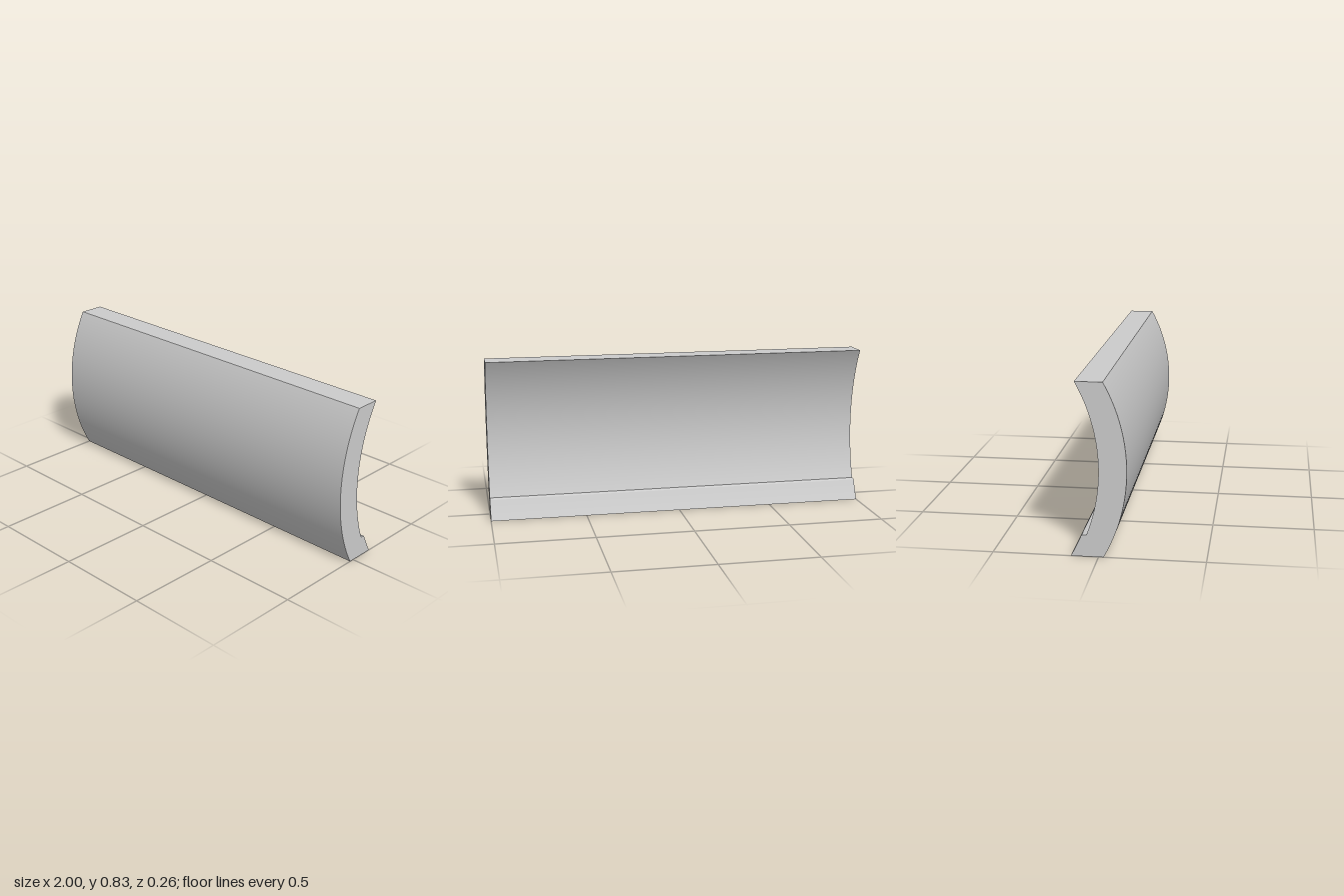
import * as THREE from 'three';
import { toCreasedNormals } from 'three/addons/utils/BufferGeometryUtils.js';

export function createModel() {
  const group = new THREE.Group();
  group.name = 'curvedPanel';
  const R = 0.85, midY = 0.415, outerZ = 0.132, innerZ = 0.002;
  const tip = Math.asin(midY / R);                 // half angle of the full arc
  const lip = Math.asin((midY - 0.105) / R);       // where the inner arc meets the lip

  // Side profile: shape x is depth (z), shape y is height
  const profile = new THREE.Shape();
  profile.moveTo(-0.13, 0);
  profile.lineTo(outerZ - R + R * Math.cos(tip), 0);
  profile.absarc(outerZ - R, midY, R, -tip, tip, false);   // bulging front
  profile.absarc(innerZ - R, midY, R, tip, -lip, true);    // hollow back
  profile.lineTo(-0.073, 0.105);                           // ledge of the lower lip
  profile.quadraticCurveTo(-0.08, 0.105, -0.083, 0.096);
  profile.quadraticCurveTo(-0.103, 0.05, -0.13, 0);

  const geometry = new THREE.ExtrudeGeometry(profile, { depth: 2, bevelEnabled: false, curveSegments: 32 });
  geometry.translate(0, 0, -1);
  geometry.rotateY(-Math.PI / 2);

  const panel = new THREE.Mesh(
    toCreasedNormals(geometry, 0.5),
    new THREE.MeshStandardMaterial({ color: 0xcccccc })
  );
  panel.name = 'bladePanel';
  group.add(panel);
  return group;
}
